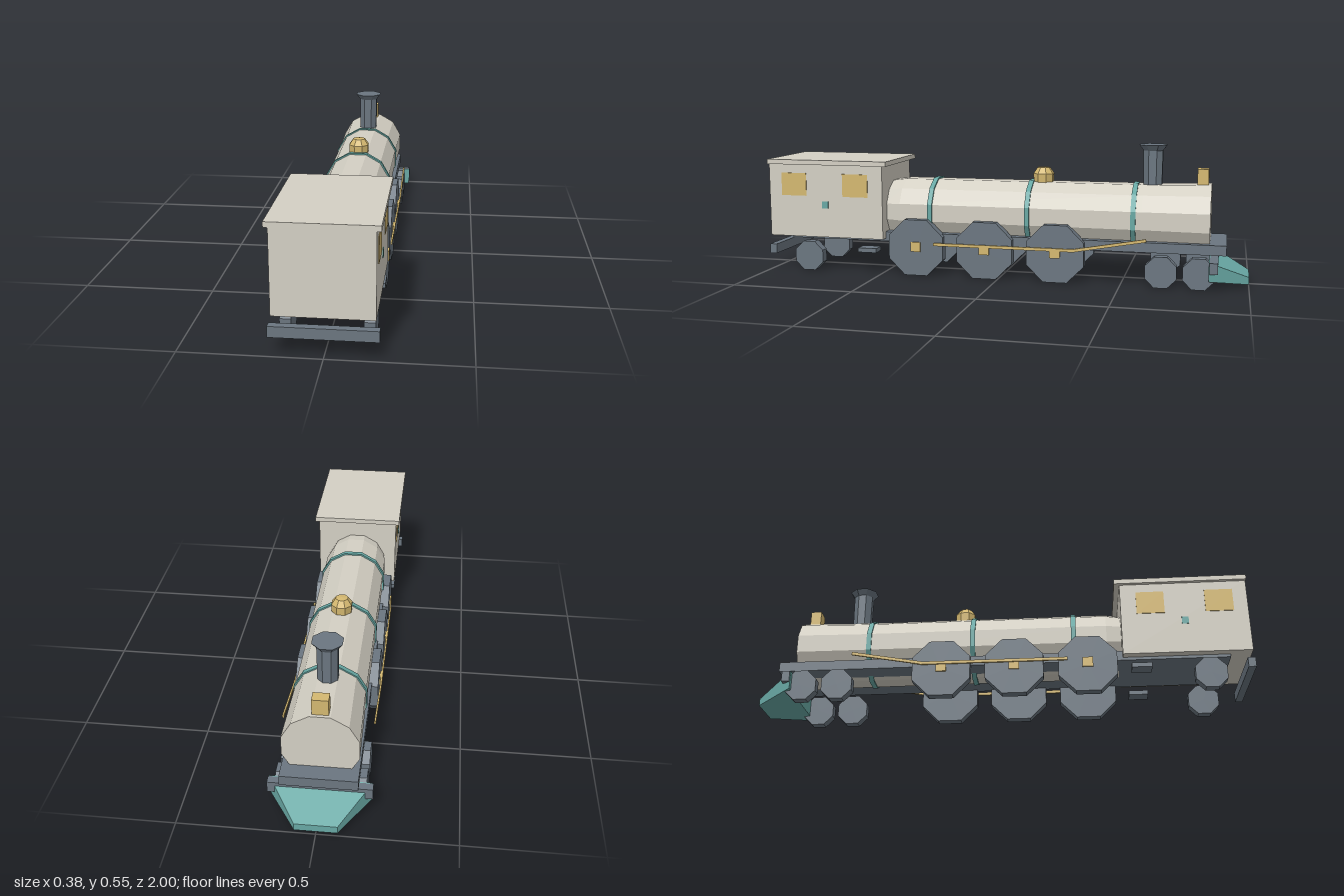
import * as THREE from 'three';

export function createModel() {
  const model = new THREE.Group();
  model.name = 'steamLocomotive';

  const paint = (name, color) => {
    const m = new THREE.MeshStandardMaterial({ color, flatShading: true });
    m.name = name;
    return m;
  };
  const cream = paint('cream', 0xd4d0c4);
  const steel = paint('steelGrey', 0x6b7680);
  const teal = paint('teal', 0x68a8a4);
  const brass = paint('brass', 0xd4b870);

  const add = (name, geometry, material, x = 0, y = 0, z = 0) => {
    const mesh = new THREE.Mesh(geometry, material);
    mesh.name = name;
    mesh.position.set(x, y, z);
    model.add(mesh);
    return mesh;
  };
  // Box given by its lower and upper limits on each axis
  const box = (name, material, x0, x1, y0, y1, z0, z1) =>
    add(name, new THREE.BoxGeometry(x1 - x0, y1 - y0, z1 - z0), material,
      (x0 + x1) / 2, (y0 + y1) / 2, (z0 + z1) / 2);
  // Faceted lathe with flat sides on the main axes; profile is [radius, height]
  const lathe = (profile, sides) => new THREE.LatheGeometry(
    profile.map(([r, h]) => new THREE.Vector2(r, h)), sides, Math.PI / sides);

  // Frame and rear buffer beam
  box('frame', steel, -0.14, 0.14, 0.135, 0.175, -0.91, 0.915);
  box('rearBeam', steel, -0.187, 0.187, 0.07, 0.11, 0.97, 1.0);
  box('frontBeam', steel, -0.19, 0.19, 0.07, 0.114, -0.88, -0.848);

  // Wedge-shaped pilot: the front edge is narrowed and lowered
  const pilot = new THREE.BoxGeometry(2, 1, 1);
  const pos = pilot.attributes.position;
  for (let i = 0; i < pos.count; i++) {
    const front = pos.getZ(i) < 0, top = pos.getY(i) > 0;
    const halfWidth = front ? 0.077 : 0.187;
    const y = front ? (top ? 0.042 : 0.013) : (top ? 0.115 : 0.04);
    pos.setXYZ(i, pos.getX(i) * halfWidth, y, front ? -1.0 : -0.845);
  }
  pilot.computeVertexNormals();
  add('pilot', pilot, teal);

  // Boiler, slightly tapered at the cab and wider at the smokebox
  const axisY = 0.259;
  const boiler = lathe([[0, -0.845], [0.144, -0.845], [0.138, -0.58],
    [0.136, 0.43], [0.125, 0.5], [0, 0.5]], 12);
  add('boiler', boiler.rotateX(Math.PI / 2), cream, 0, axisY, 0);
  for (const z of [-0.545, -0.115, 0.297]) {
    const band = lathe([[0.13, -0.01], [0.143, -0.01], [0.143, 0.01], [0.13, 0.01]], 12);
    add('boilerBand', band.rotateX(Math.PI / 2), teal, 0, axisY, z);
  }

  // Boiler-top fittings
  add('chimney', lathe([[0, 0.37], [0.04, 0.37], [0.042, 0.53], [0.06, 0.553],
    [0, 0.553]], 8), steel, 0, 0, -0.61);
  add('steamDome', lathe([[0, 0.37], [0.041, 0.37], [0.044, 0.425], [0.026, 0.45],
    [0, 0.453]], 8), brass, 0, 0, -0.16);
  box('headlamp', brass, -0.03, 0.03, 0.38, 0.46, -0.832, -0.788);

  // Cab
  box('cab', cream, -0.175, 0.175, 0.147, 0.457, 0.49, 0.998);
  box('cabRoof', cream, -0.19, 0.19, 0.455, 0.475, 0.468, 1.0);

  // Wheels with flat octagonal rims
  const wheel = (name, side, halfHeight, z) => {
    const r = halfHeight / Math.cos(Math.PI / 8);
    const g = new THREE.CylinderGeometry(r, r, 0.04, 8, 1, false, Math.PI / 8);
    add(name, g.rotateZ(Math.PI / 2), steel, side * 0.145, halfHeight, z);
  };

  for (const side of [-1, 1]) {
    const plate = (name, material, x, y, z, w, h, d) =>
      add(name, new THREE.BoxGeometry(w, h, d), material, side * x, y, z);

    for (const z of [0.35, 0.056, -0.238]) {
      wheel('drivingWheel', side, 0.117, z);
      plate('wheelHub', brass, 0.167, 0.121, z, 0.008, 0.04, 0.042);
    }
    for (const z of [0.83, -0.66, -0.807]) wheel('carryingWheel', side, 0.062, z);

    // Coupling rod along the wheels, then a rod rising to the cylinder
    plate('couplingRod', brass, 0.173, 0.136, -0.025, 0.007, 0.012, 0.59);
    const rod = plate('pistonRod', brass, 0.173, 0.163, -0.46, 0.007, 0.012, 0.29);
    rod.rotation.x = Math.atan2(0.052, 0.285);

    // Cab windows, side marker and step
    for (const z of [0.61, 0.885]) plate('cabWindow', brass, 0.175, 0.37, z, 0.006, 0.096, 0.112);
    plate('cabMarker', teal, 0.175, 0.285, 0.745, 0.006, 0.03, 0.027);
    plate('cabStep', steel, 0.145, 0.098, 0.562, 0.06, 0.018, 0.08);
  }

  return model;
}
